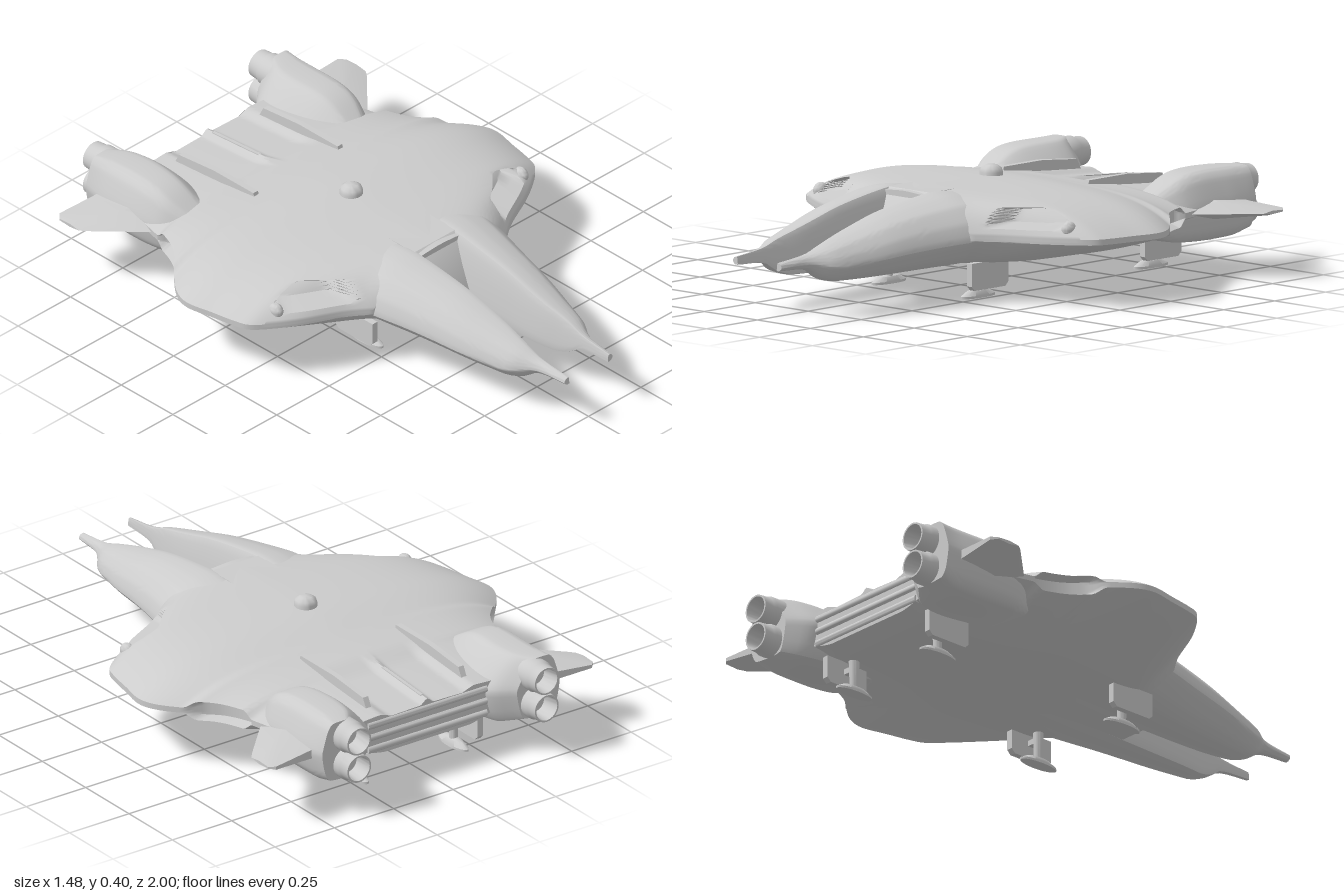
import * as THREE from 'three';
import { mergeVertices, toCreasedNormals } from 'three/addons/utils/BufferGeometryUtils.js';

const { clamp, smoothstep, lerp } = THREE.MathUtils;

// Smooth function through [position, value] points with rising positions
function curve(pts) {
  const slope = (i) => {
    const a = pts[Math.max(i - 1, 0)], b = pts[Math.min(i + 1, pts.length - 1)];
    return (b[1] - a[1]) / (b[0] - a[0]);
  };
  return (z) => {
    z = clamp(z, pts[0][0], pts[pts.length - 1][0]);
    let i = 0;
    while (i < pts.length - 2 && z > pts[i + 1][0]) i++;
    const [a, p] = pts[i], [b, q] = pts[i + 1], h = b - a, t = (z - a) / h;
    return lerp(p, q, t * t * (3 - 2 * t)) + h * t * (1 - t) * ((1 - t) * slope(i) - t * slope(i + 1));
  };
}

// Skin over closed rings of [x, y, z]; each ring runs counter-clockwise seen from +z
function loft(rings) {
  const n = rings[0].length, pos = rings.flat(2), index = [];
  for (let i = 0; i < rings.length - 1; i++) {
    for (let j = 0; j < n; j++) {
      const a = i * n + j, b = i * n + ((j + 1) % n);
      index.push(a, b, a + n, b, b + n, a + n);
    }
  }
  [0, rings.length - 1].forEach((r, end) => {
    const centre = pos.length / 3;
    for (let k = 0; k < 3; k++) pos.push(rings[r].reduce((s, p) => s + p[k], 0) / n);
    for (let j = 0; j < n; j++) {
      const a = r * n + j, b = r * n + ((j + 1) % n);
      index.push(centre, ...(end ? [a, b] : [b, a]));
    }
  });
  const g = new THREE.BufferGeometry();
  g.setAttribute('position', new THREE.Float32BufferAttribute(pos, 3));
  g.setIndex(index);
  return g;
}

// Loft whose unit section is fitted between four edge curves along z
function podGeometry(section, z0, z1, steps, { inner, outer, bottom, top }) {
  const unit = new THREE.CatmullRomCurve3(section.map(([a, b]) => new THREE.Vector3(a, b, 0)), true, 'catmullrom', 0.25)
    .getPoints(45).slice(0, -1);
  return loft(Array.from({ length: steps + 1 }, (_, i) => {
    const z = lerp(z0, z1, i / steps);
    return unit.map((p) => [lerp(inner(z), outer(z), p.x), lerp(bottom(z), top(z), p.y), z]);
  }));
}

function hullGeometry() {
  const width = curve([[-0.85, 0.43], [-0.7, 0.49], [-0.6, 0.515], [-0.5, 0.54], [-0.42, 0.58], [-0.35, 0.65], [-0.27, 0.715],
    [-0.2, 0.738], [-0.1, 0.72], [0, 0.70], [0.05, 0.68], [0.1, 0.62], [0.15, 0.54], [0.22, 0.40], [0.28, 0.315]]);
  const topY = curve([[-0.85, 0.285], [-0.6, 0.305], [-0.42, 0.325], [-0.2, 0.36], [0.1, 0.363], [0.28, 0.358]]);
  const bottomY = curve([[-0.85, 0.135], [-0.75, 0.12], [0.28, 0.12]]);
  const N = 110, M = 6, rings = [];
  for (let i = 0; i <= 120; i++) {
    const z = lerp(-0.85, 0.28, i / 120), w = width(z), ring = [];
    const vent = smoothstep(z, -0.56, -0.52) * (1 - smoothstep(z, -0.38, -0.34));
    const edge = 0.01 + 0.025 * vent;
    const tip = 0.23;
    // underside, left edge, upper side, right edge
    for (let j = 0; j < N; j++) {
      const u = -1 + 2 * j / N, a = Math.abs(u);
      ring.push([u * w, lerp(bottomY(z), tip - edge, Math.max(0, (a - 0.4) / 0.6) ** 1.4), z]);
    }
    const side = (s) => {
      for (let j = 0; j < M; j++) {
        const t = j / M, dent = 0.04 * vent * (t > 0.1 && t < 0.9 ? 1 : 0);
        ring.push([s * (w - dent), tip + s * lerp(-edge, edge, t), z]);
      }
    };
    side(1);
    for (let j = 0; j < N; j++) {
      const u = 1 - 2 * j / N, a = Math.abs(u), x = a * w;
      let y = lerp(tip + edge, topY(z), 1 - 0.3 * a ** 1.5 - 0.7 * a ** 5);
      // sunken rear deck between the ridges
      y -= 0.018 * (1 - smoothstep(z, -0.6, -0.48)) * (1 - smoothstep(x, 0.15, 0.2)) * smoothstep(x, 0, 0.03);
      // intake recesses in the leading edge
      const m = smoothstep(a, 0.7, 0.735) * (1 - smoothstep(a, 0.91, 0.945))
        * smoothstep(x, 0.345, 0.37) * (1 - smoothstep(x, 0.54, 0.57)) * smoothstep(z, 0.06, 0.085);
      ring.push([u * w, y, z - 0.09 * m]);
    }
    side(-1);
    rings.push(ring);
  }
  return loft(rings);
}

export function createModel() {
  const model = new THREE.Group();
  const material = new THREE.MeshStandardMaterial({ color: 0xcccccc, side: THREE.DoubleSide });

  const add = (name, geometry, crease = 0.6, mirrored = false) => {
    let g = geometry.clone();
    g.deleteAttribute('normal');
    g.deleteAttribute('uv');
    g = mergeVertices(g, 1e-5);
    if (mirrored) {
      g.scale(-1, 1, 1);
      g.setIndex(Array.from(g.index.array).reverse());
    }
    const mesh = new THREE.Mesh(toCreasedNormals(g, crease), material);
    mesh.name = name;
    model.add(mesh);
  };
  const pair = (name, geometry, crease) => {
    add(name + 'Left', geometry, crease);
    add(name + 'Right', geometry, crease, true);
  };
  const box = (w, h, d, x, y, z) => new THREE.BoxGeometry(w, h, d).translate(x, y, z);
  // Side outline of [z, y] points given thickness along x
  const slab = (pts, x0, x1) => new THREE.ExtrudeGeometry(
    new THREE.Shape(pts.map(([z, y]) => new THREE.Vector2(-z, y))), { depth: x1 - x0, bevelEnabled: false },
  ).rotateY(Math.PI / 2).translate(x0, 0, 0);

  add('hull', hullGeometry(), 0.7);

  // Twin forward prongs with needle tips
  pair('prong', podGeometry(
    [[0, 0], [0.5, 0], [0.75, 0.14], [1, 0.4], [0.92, 0.66], [0.72, 0.88], [0.45, 0.98], [0.15, 1], [0.05, 0.6]], 0, 1, 50, {
      inner: curve([[0, 0.05], [0.38, 0.053], [0.6, 0.058], [0.7, 0.065], [0.8, 0.08], [0.87, 0.09], [1, 0.092]]),
      outer: curve([[0, 0.33], [0.2, 0.33], [0.28, 0.315], [0.4, 0.285], [0.5, 0.263], [0.6, 0.242], [0.7, 0.215], [0.8, 0.183], [0.85, 0.147], [0.89, 0.128], [1, 0.115]]),
      bottom: curve([[0, 0.125], [0.3, 0.12], [0.75, 0.12], [0.82, 0.14], [0.87, 0.17], [1, 0.18]]),
      top: curve([[0, 0.335], [0.2, 0.358], [0.28, 0.357], [0.5, 0.325], [0.65, 0.287], [0.8, 0.245], [0.87, 0.222], [1, 0.207]]),
    }), 0.6);
  add('prongWeb', slab([[0.1, 0.12], [0.38, 0.12], [0.37, 0.18], [0.275, 0.345], [0.255, 0.36], [0.1, 0.36]], -0.1, 0.1));

  // Engine pods at the rear corners
  pair('enginePod', podGeometry(
    [[0.15, 0], [0.8, 0], [0.93, 0.15], [1, 0.5], [0.87, 0.88], [0.75, 1], [0.4, 1], [0.2, 0.8], [0, 0.5]], -0.93, -0.5, 24, {
      inner: curve([[-0.93, 0.32], [-0.86, 0.25], [-0.75, 0.23], [-0.5, 0.27]]),
      outer: curve([[-0.93, 0.5], [-0.8, 0.51], [-0.6, 0.5], [-0.5, 0.45]]),
      bottom: curve([[-0.93, 0.14], [-0.85, 0.12], [-0.6, 0.125], [-0.5, 0.15]]),
      top: curve([[-0.93, 0.352], [-0.85, 0.355], [-0.68, 0.354], [-0.6, 0.335], [-0.5, 0.275]]),
    }), 0.6);
  const nozzle = new THREE.LatheGeometry(
    [[0, 0.03], [0.038, 0.03], [0.044, 0.098], [0.05, 0.098], [0.053, 0.06], [0.058, 0.05], [0.058, 0]].map(([r, y]) => new THREE.Vector2(r, y)), 32,
  ).rotateX(-Math.PI / 2);
  for (const [level, y] of [['upper', 0.295], ['lower', 0.192]]) {
    pair(level + 'Nozzle', nozzle.clone().translate(0.395, y, -0.902));
  }

  // Tail fins, sections from tip to root
  const finRing = (x, front, back, t) => [
    [x, 0.23, front], [x, 0.23 + t, lerp(front, back, 0.45)], [x, 0.23 + t * 0.5, back],
    [x, 0.23 - t * 0.5, back], [x, 0.23 - t, lerp(front, back, 0.45)]];
  pair('tailFin', loft([finRing(0.42, -0.56, -0.87, 0.045), finRing(0.52, -0.6, -0.875, 0.03),
    finRing(0.665, -0.75, -0.89, 0.012), finRing(0.685, -0.775, -0.87, 0.006)].map((r) => r.reverse())), 0.4);

  // Deck ridges, centre seam and rear panel
  pair('deckRidge', slab([[-0.4, 0.30], [-0.41, 0.335], [-0.6, 0.335], [-0.77, 0.318], [-0.8, 0.26]], 0.19, 0.212));
  add('deckSeam', slab([[-0.52, 0.29], [-0.6, 0.305], [-0.82, 0.288], [-0.82, 0.25]], -0.006, 0.006));
  for (const y of [0.16, 0.205, 0.25]) {
    add('rearPanelBar', new THREE.CylinderGeometry(0.014, 0.014, 0.5, 12).rotateZ(Math.PI / 2).translate(0, y, -0.845));
  }

  // Lamp beside each intake and sensor dome on top
  pair('intakeLamp', new THREE.SphereGeometry(1, 20, 14).scale(0.022, 0.028, 0.03).translate(0.585, 0.268, 0.078));
  add('sensorDome', new THREE.LatheGeometry(
    [[0.04, 0], [0.04, 0.025], [0.036, 0.038], [0.022, 0.048], [0, 0.05]].map(([r, y]) => new THREE.Vector2(r, y)), 28,
  ).translate(0, 0.348, -0.15), 0.9);

  // Landing gear: strut, dished foot and bay door
  const foot = new THREE.LatheGeometry(
    [[0, 0], [0.08, 0], [0.08, 0.008], [0.05, 0.024], [0, 0.03]].map(([r, y]) => new THREE.Vector2(r, y)), 28);
  for (const [place, z] of [['front', 0.135], ['rear', -0.715]]) {
    pair(place + 'Foot', foot.clone().scale(0.32, 1, 1).translate(0.21, 0, z));
    pair(place + 'Strut', new THREE.CylinderGeometry(0.019, 0.015, 0.12, 16).translate(0.21, 0.08, z));
    pair(place + 'StrutBrace', box(0.05, 0.02, 0.03, 0.235, 0.09, z));
    pair(place + 'BayDoor', slab([[z - 0.09, 0.13], [z - 0.09, 0.05], [z - 0.075, 0.035], [z + 0.075, 0.035], [z + 0.09, 0.05], [z + 0.09, 0.13]], 0.245, 0.268));
  }
  return model;
}
